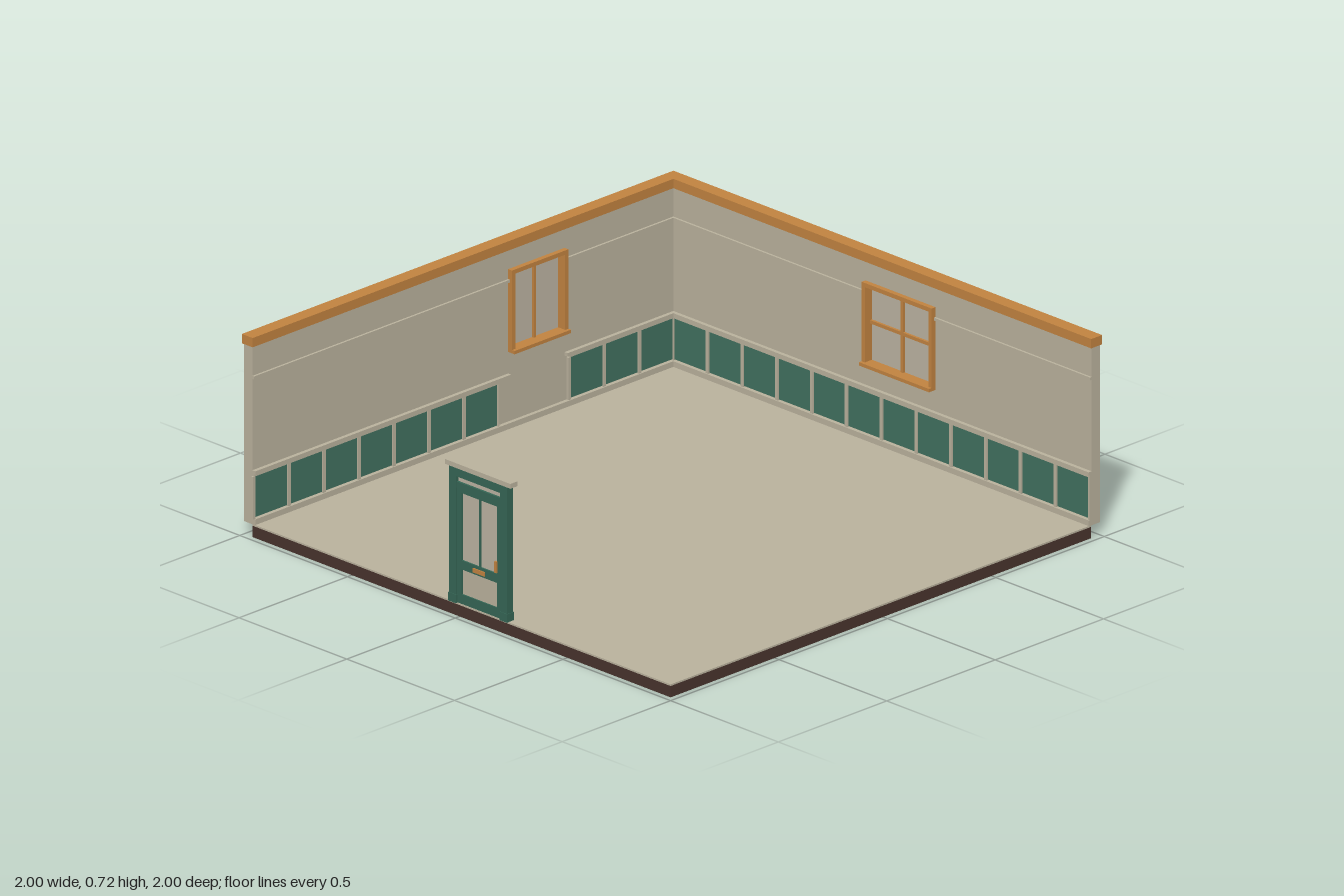
import * as THREE from 'three';

const mat = (name, color) => {
  const m = new THREE.MeshStandardMaterial({ color });
  m.name = name;
  return m;
};

export function createModel() {
  const plaster = mat('plaster', 0xbab29d);
  const wood = mat('orange wood', 0xc18340);
  const panelGreen = mat('panel green', 0x41705f);
  const doorGreen = mat('door green', 0x356655);
  const base = mat('dark base', 0x48332d);
  const glass = mat('pane', 0xbcb3a2);

  // Box given by its lower and upper limits on each axis
  const box = (parent, name, m, x0, x1, y0, y1, z0, z1) => {
    const mesh = new THREE.Mesh(new THREE.BoxGeometry(x1 - x0, y1 - y0, z1 - z0), m);
    mesh.position.set((x0 + x1) / 2, (y0 + y1) / 2, (z0 + z1) / 2);
    mesh.name = name;
    parent.add(mesh);
  };

  const room = new THREE.Group();
  room.name = 'room';

  // Floor
  box(room, 'floorBase', base, -0.96, 0.98, 0, 0.04, -0.958, 0.98);
  box(room, 'floor', plaster, -0.96, 0.98, 0.04, 0.046, -0.958, 0.98);

  // Window with frame, sill, pane and glazing bars, facing local +z
  const addWindow = (wall, a, b, crossBar) => {
    const w = new THREE.Group();
    w.name = 'window';
    wall.add(w);
    const y0 = 0.32, y1 = 0.605, t = 0.015, mid = (a + b) / 2;
    box(w, 'pane', glass, a, b, y0, y1, -0.019, -0.015);
    for (const [x0, x1] of [[a, a + t], [b - t, b]])
      box(w, 'frameSide', wood, x0, x1, y0, y1 - t, -0.026, 0.018);
    box(w, 'frameTop', wood, a, b, y1 - t, y1, -0.026, 0.018);
    box(w, 'sill', wood, a, b, 0.312, y0 + 0.004, -0.026, 0.03);
    box(w, 'verticalBar', wood, mid - 0.005, mid + 0.005, y0, y1 - t, -0.024, -0.006);
    if (crossBar) box(w, 'crossBar', wood, a + t, b - t, 0.455, 0.467, -0.024, -0.006);
  };

  // Wall along local x with its inner face at z = 0; panel runs are [start, count]
  const pitch = 0.1615;
  const addWall = (name, u0, u1, a, b, runs, crossBar, railGap) => {
    const wall = new THREE.Group();
    wall.name = name;
    room.add(wall);
    const back = -0.038, top = 0.705;
    box(wall, 'wallSection', plaster, u0, a - 0.001, 0.045, top, back, 0);
    box(wall, 'wallSection', plaster, b + 0.001, u1, 0.045, top, back, 0);
    box(wall, 'wallUnderWindow', plaster, a, b, 0.045, 0.315, back, 0);
    box(wall, 'wallOverWindow', plaster, a, b, 0.602, top, back, 0);
    addWindow(wall, a, b, crossBar);
    box(wall, 'baseboard', plaster, u0, u1, 0.045, 0.066, 0, 0.014);
    for (const [x0, x1] of [[u0, a], [b, u1]])
      box(wall, 'pictureRail', plaster, x0, x1, 0.56, 0.57, 0, 0.008);
    for (const [x0, x1] of railGap ? [[u0, a], [b, u1]] : [[u0, u1]])
      box(wall, 'chairRail', plaster, x0, x1, 0.224, 0.236, 0, 0.014);
    // Wainscot: green panels between plain stiles
    for (const [start, count] of runs) {
      const end = start + count * pitch;
      box(wall, 'wainscotTopRail', plaster, start, end, 0.216, 0.224, 0, 0.01);
      for (let i = 0; i < count; i++) {
        const x = start + i * pitch;
        box(wall, 'wainscotPanel', panelGreen, x + 0.008, x + pitch - 0.008, 0.07, 0.216, 0, 0.006);
        box(wall, 'wainscotStile', plaster, x - 0.006, x + 0.006, 0.066, 0.216, 0, 0.01);
      }
      box(wall, 'wainscotStile', plaster, end - 0.006, end, 0.066, 0.216, 0, 0.01);
    }
    return wall;
  };

  const backWall = addWall('backWall', -0.962, 0.98, -0.07, 0.255, [[-0.958, 12]], true, false);
  backWall.position.z = -0.962;

  const sideWall = addWall('sideWall', -0.98, 0.962, 0.2, 0.46, [[-0.98, 7], [0.475, 3]], false, true);
  sideWall.rotation.y = Math.PI / 2;
  sideWall.position.x = -0.962;

  box(room, 'cornerPost', plaster, -0.99, -0.962, 0.045, 0.7, -0.99, -0.962);

  // Cornice along both walls
  box(room, 'backCornice', wood, -0.94, 1, 0.683, 0.716, -0.99, -0.94);
  box(room, 'sideCornice', wood, -0.99, -0.94, 0.683, 0.716, -0.99, 1);

  // Front door standing on its own
  const door = new THREE.Group();
  door.name = 'door';
  room.add(door);
  const zb = 0.957, zf = 0.984, c = 0.09;
  for (const s of [-1, 1]) {
    const x = c + s * 0.119;
    box(door, 'casingPost', doorGreen, x - 0.016, x + 0.016, 0.045, 0.525, zb, zf);
    box(door, 'plinthBlock', doorGreen, x - 0.018, x + 0.018, 0.045, 0.075, zb - 0.002, zf + 0.002);
  }
  box(door, 'casingTop', doorGreen, c - 0.104, c + 0.104, 0.494, 0.525, zb, zf);
  box(door, 'cap', plaster, c - 0.152, c + 0.152, 0.524, 0.541, 0.952, 0.986);
  box(door, 'transomPane', glass, c - 0.103, c + 0.103, 0.468, 0.494, 0.966, 0.972);
  box(door, 'transomBar', doorGreen, c - 0.104, c + 0.104, 0.452, 0.474, zb, 0.98);

  // Door leaf: rails and stiles around the panes and lower panel
  const l = c - 0.103, r = c + 0.103, d0 = 0.961, d1 = 0.978;
  for (const [x0, x1] of [[l, l + 0.021], [r - 0.021, r]])
    box(door, 'doorStile', doorGreen, x0, x1, 0.046, 0.452, d0, d1);
  for (const [y0, y1] of [[0.046, 0.08], [0.168, 0.2], [0.438, 0.452]])
    box(door, 'doorRail', doorGreen, l + 0.021, r - 0.021, y0, y1, d0, d1);
  box(door, 'doorPane', glass, l + 0.02, r - 0.02, 0.2, 0.438, 0.967, 0.972);
  box(door, 'doorBar', doorGreen, c - 0.004, c + 0.004, 0.2, 0.438, 0.963, 0.976);
  box(door, 'lowerPanel', plaster, l + 0.02, r - 0.02, 0.08, 0.168, 0.966, 0.973);
  box(door, 'letterPlate', wood, c - 0.027, c + 0.027, 0.175, 0.19, d1, d1 + 0.004);
  box(door, 'handle', wood, 0.166, 0.175, 0.205, 0.245, d1, d1 + 0.007);

  return room;
}
